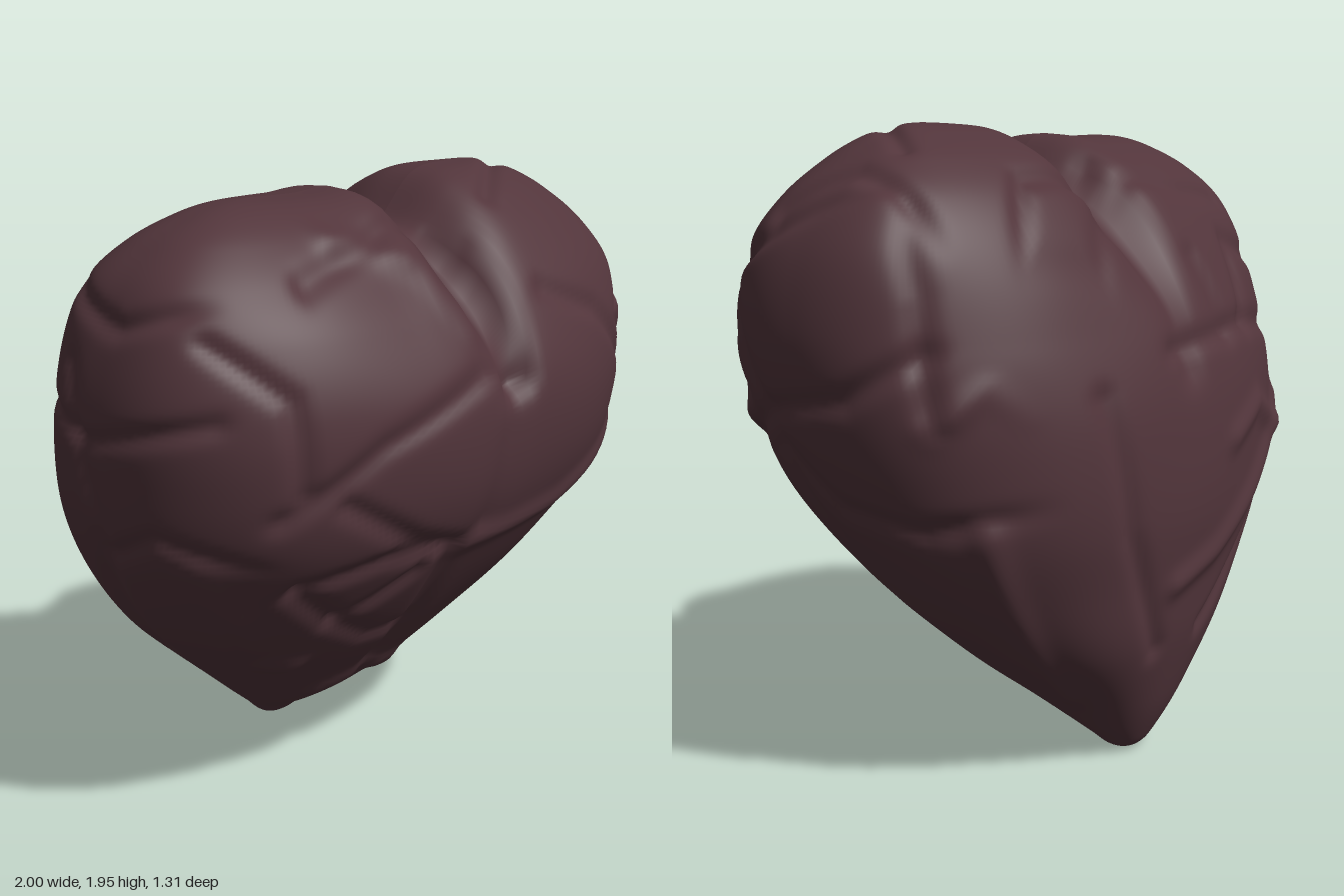
import * as THREE from 'three';
import { mergeVertices } from 'three/addons/utils/BufferGeometryUtils.js';

const RINGS = 170, SIDES = 220;

// Cross-sections: height, left half-width (-x), right half-width (+x), front z, back z
const sections = [
  [0, 0, 0, -0.38, -0.38], [0.015, 0.06, 0.06, -0.33, -0.43], [0.07, 0.12, 0.12, -0.26, -0.47],
  [0.2, 0.27, 0.25, -0.06, -0.53], [0.4, 0.49, 0.48, 0.15, -0.59], [0.6, 0.7, 0.67, 0.33, -0.62],
  [0.8, 0.85, 0.82, 0.48, -0.65], [1.0, 0.95, 0.92, 0.6, -0.65], [1.2, 0.99, 0.98, 0.65, -0.625],
  [1.4, 1.0, 1.0, 0.64, -0.56], [1.6, 0.96, 0.96, 0.55, -0.455], [1.75, 0.9, 0.86, 0.44, -0.35],
  [1.85, 0.8, 0.73, 0.34, -0.24], [1.91, 0.68, 0.61, 0.25, -0.13], [1.94, 0.57, 0.52, 0.17, -0.04],
  [1.95, 0.46, 0.43, 0.07, 0.07],
];

// Surface folds: [depth, width, ...path points]; a negative depth is a raised vein
const frontFolds = [
  [0.06, 0.055, 0.03, 1.85, 0.06, 1.6, 0.08, 1.4], [0.02, 0.05, 0.08, 1.4, 0.04, 1.2, 0, 0.95],
  [0.018, 0.035, -0.72, 1.12, -0.45, 1.3, -0.05, 1.44], [-0.02, 0.035, -0.1, 0.9, 0.35, 0.94, 0.6, 1.02, 0.85, 1.13],
  [0.02, 0.03, -0.55, 1.14, -0.3, 0.98, -0.1, 0.9], [0.02, 0.03, -0.6, 0.87, -0.35, 0.93, -0.1, 0.9],
  [0.02, 0.035, -0.1, 0.9, -0.05, 0.6, 0, 0.3], [0.02, 0.03, -0.6, 0.85, -0.42, 0.7, -0.2, 0.57, -0.08, 0.57],
  [0.02, 0.03, -0.4, 0.7, -0.2, 0.84], [0.018, 0.03, 0.3, 1.62, 0.55, 1.52, 0.75, 1.35, 0.88, 1.2],
  [0.018, 0.03, -0.85, 1.6, -0.7, 1.45, -0.68, 1.2], [0.015, 0.025, 0.85, 1.05, 0.7, 0.82, 0.48, 0.52],
  [-0.015, 0.04, -0.4, 1.82, -0.15, 1.74, -0.06, 1.55], [-0.025, 0.04, -0.87, 0.93, -0.7, 0.73, -0.55, 0.5, -0.4, 0.49],
  [-0.02, 0.035, -0.15, 0.26, 0, 0.33, 0.15, 0.3], [0.02, 0.03, 0.88, 1.62, 0.75, 1.47, 0.84, 1.36],
];
const backFolds = [
  [0.025, 0.06, 0, 1.85, 0.01, 1.55, 0.02, 1.25], [0.018, 0.035, 0.1, 1.3, -0.4, 1.34, -0.8, 1.28],
  [0.018, 0.035, -0.2, 1.55, -0.25, 1.32], [0.018, 0.035, -0.42, 1.33, -0.5, 1.58, -0.8, 1.5],
  [-0.02, 0.04, 0.1, 0.6, -0.1, 0.66, -0.35, 0.8, -0.7, 1.05], [0.018, 0.03, -0.1, 0.42, -0.4, 0.65, -0.7, 0.92],
  [0.018, 0.035, 0.42, 1.2, 0.33, 0.8, 0.14, 0.4], [-0.018, 0.04, -0.2, 1, -0.4, 1.08, -0.6, 0.98],
];
const rightFolds = [
  [0.02, 0.03, 0.4, 1.55, 0.15, 1.68, -0.15, 1.82], [0.02, 0.03, -0.18, 1.8, -0.28, 1.5, -0.32, 1.15],
  [0.018, 0.035, 0.4, 1.55, 0.35, 1.4, 0.2, 1.15], [0.018, 0.035, 0.5, 0.98, 0.2, 1.17, -0.1, 1.22, -0.3, 1.35],
  [-0.02, 0.035, -0.32, 1.15, -0.42, 1.26, -0.5, 1.18], [0.018, 0.035, 0.2, 1.1, 0, 0.9, -0.25, 0.85, -0.55, 0.92],
  [-0.02, 0.04, -0.4, 0.85, -0.38, 0.5, -0.35, 0.25], [0.018, 0.03, 0.2, 1.05, 0.1, 0.8, 0.05, 0.6],
];
const leftFolds = [
  [0.018, 0.035, -0.1, 1.5, 0, 1.05, -0.2, 0.5], [0.018, 0.03, 0.4, 1.4, 0, 1.3, -0.35, 1.38],
  [0.018, 0.035, -0.42, 1.5, -0.4, 0.9, -0.4, 0.4], [0.018, 0.03, 0.45, 0.95, 0.2, 1.05, 0, 0.95],
  [0.018, 0.03, 0.35, 1.7, 0.1, 1.62, -0.2, 1.7],
];
const topFolds = [
  [0.02, 0.03, 0.12, -0.36, 0.3, -0.48, 0.58, -0.42, 0.42, -0.28, 0.15, -0.3],
  [0.018, 0.03, 0.3, 0.3, 0.55, 0.1, 0.65, -0.05], [0.018, 0.035, -0.55, 0.4, -0.3, 0.37, -0.1, 0.3],
  [0.018, 0.03, 0.78, -0.3, 0.78, 0, 0.88, 0.2], [0.015, 0.03, -0.12, -0.28, -0.4, -0.32, -0.65, -0.3],
];

// Smooth values of all section columns at position t from bottom to top
function sectionAt(t) {
  const f = t * (sections.length - 1), i = Math.min(Math.floor(f), sections.length - 2), u = f - i;
  const s = (k) => sections[Math.max(0, Math.min(sections.length - 1, k))];
  return sections[0].map((_, c) => {
    const [p0, p1, p2, p3] = [s(i - 1)[c], s(i)[c], s(i + 1)[c], s(i + 2)[c]];
    const a = (p2 - p0) / 2, b = (p3 - p1) / 2;
    return p1 + u * (a + u * (3 * (p2 - p1) - 2 * a - b + u * (2 * (p1 - p2) + a + b)));
  });
}

// Total depth of a set of folds at a point
function foldDepth(folds, px, py) {
  let sum = 0;
  for (const [depth, width, ...p] of folds) {
    let best = Infinity;
    for (let k = 0; k + 3 < p.length; k += 2) {
      const dx = p[k + 2] - p[k], dy = p[k + 3] - p[k + 1];
      const u = THREE.MathUtils.clamp(((px - p[k]) * dx + (py - p[k + 1]) * dy) / (dx * dx + dy * dy), 0, 1);
      best = Math.min(best, (px - p[k] - u * dx) ** 2 + (py - p[k + 1] - u * dy) ** 2);
    }
    sum += depth * Math.exp(-best / (width * width));
  }
  return sum;
}

// Smooth lofted body, fuller towards the top, with a valley between the two lobes
function heartBody() {
  const pos = [], index = [];
  const round = (v, power) => Math.sign(v) * Math.abs(v) ** (2 / power);
  for (let i = 0; i <= RINGS; i++) {
    const [h, wl, wr, zf, zb] = sectionAt(i / RINGS);
    const top = THREE.MathUtils.smoothstep(h, 1.3, 1.9);
    const fuller = 0.5 * THREE.MathUtils.smoothstep(h, 1.35, 1.8);
    for (let j = 0; j < SIDES; j++) {
      const a = (j / SIDES) * Math.PI * 2, s = Math.sin(a), c0 = Math.cos(a);
      const power = fuller + (s > 0 ? 2.42 : c0 > 0 ? 2.15 : 2.3);
      const c = round(c0, power);
      const x = c * (c > 0 ? wr : wl);
      const z = (zf + zb) / 2 + round(s, power) * (zf - zb) / 2;
      const valley = 0.16 * Math.exp(-(((x - 0.04) / 0.12) ** 2));
      const lowLobe = 0.035 * THREE.MathUtils.smoothstep(-x, 0, 0.3);
      pos.push(x, h - top * (valley + lowLobe), z);
      if (i < RINGS) {
        const n = (j + 1) % SIDES, p = i * SIDES;
        index.push(p + j, p + SIDES + j, p + n, p + n, p + SIDES + j, p + SIDES + n);
      }
    }
  }
  let geo = new THREE.BufferGeometry();
  geo.setAttribute('position', new THREE.Float32BufferAttribute(pos, 3));
  geo.setIndex(index);
  geo = mergeVertices(geo, 1e-4);
  geo.computeVertexNormals();
  return geo;
}

// Press the folds into the body along its normals
function addFolds(geo) {
  const P = geo.attributes.position, N = geo.attributes.normal;
  const facing = (n) => THREE.MathUtils.smoothstep(n, 0.3, 0.7);
  for (let i = 0; i < P.count; i++) {
    const x = P.getX(i), y = P.getY(i), z = P.getZ(i);
    const nx = N.getX(i), ny = N.getY(i), nz = N.getZ(i);
    let d = 0;
    if (nz > 0.3) d += facing(nz) * foldDepth(frontFolds, x, y);
    if (nz < -0.3) d += facing(-nz) * foldDepth(backFolds, x, y);
    if (nx > 0.4) d += facing(nx - 0.1) * foldDepth(rightFolds, z, y);
    if (nx < -0.4) d += facing(-nx - 0.1) * foldDepth(leftFolds, z, y);
    if (ny > 0.3) d += facing(ny) * foldDepth(topFolds, x, z);
    // gentle lumps, fading out at the tip
    const lump = Math.sin(7 * x + 3 * y + 1) * Math.sin(6 * y - 4 * z) * Math.sin(8 * z + 3 * x + 2);
    d += 0.005 * lump * THREE.MathUtils.smoothstep(y, 0, 0.4);
    P.setXYZ(i, x - nx * d, Math.max(0, y - ny * d), z - nz * d);
  }
  geo.computeVertexNormals();
  return geo;
}

export function createModel() {
  const group = new THREE.Group();
  group.name = 'heart';
  const flesh = new THREE.MeshStandardMaterial({ color: 0x52353b });
  flesh.name = 'dark maroon';
  const body = new THREE.Mesh(addFolds(heartBody()), flesh);
  body.name = 'heartBody';
  group.add(body);
  return group;
}
